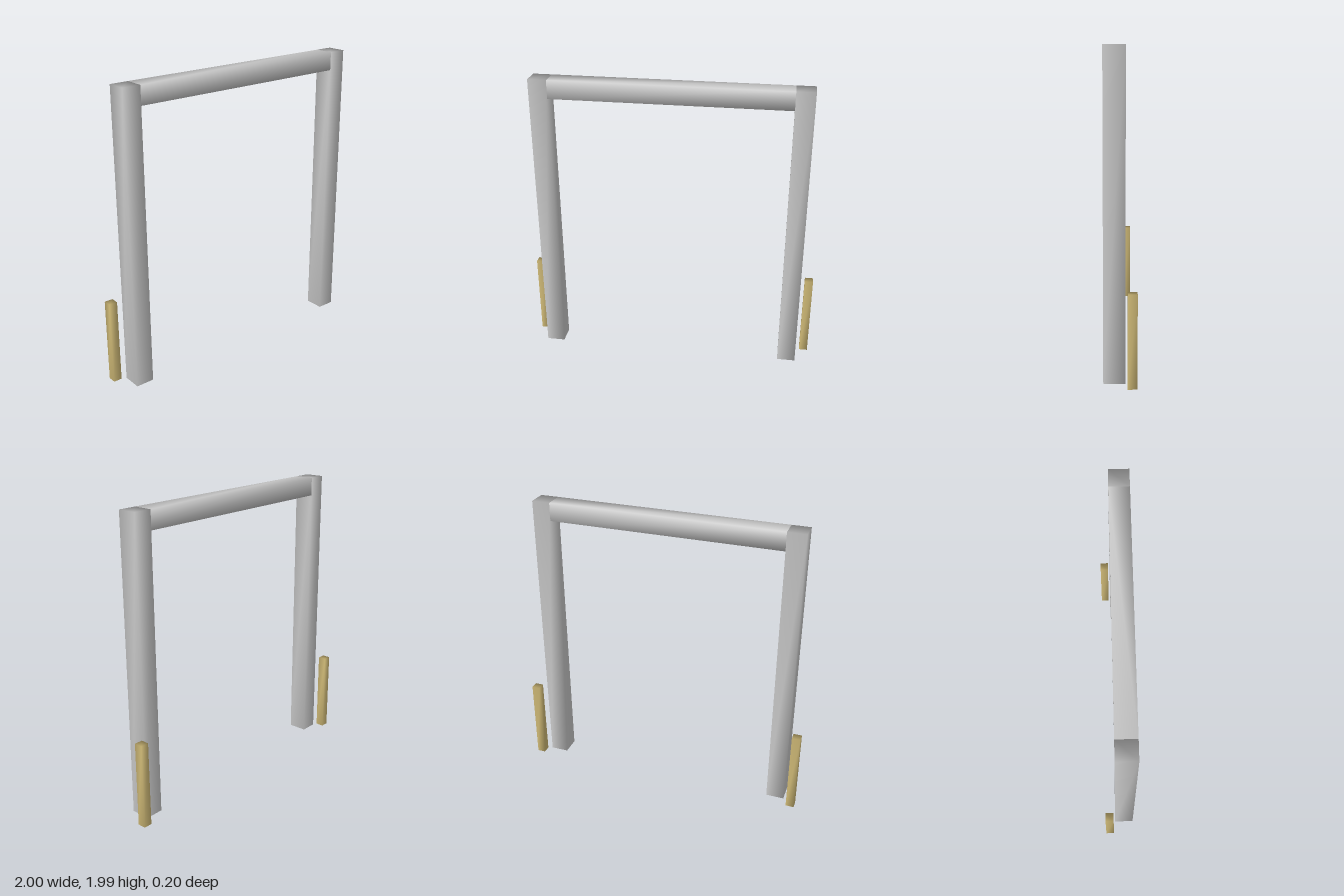
import * as THREE from 'three';
import { mergeVertices } from 'three/addons/utils/BufferGeometryUtils.js';

const grey = new THREE.MeshStandardMaterial({ color: 0xcccccc });
const tan = new THREE.MeshStandardMaterial({ color: 0xd2bc78 });

// Box given by its min and max corners, with normals shared across the edges
function softBar(name, min, max, material) {
  const size = max.map((v, i) => v - min[i]);
  let geometry = new THREE.BoxGeometry(...size);
  geometry.deleteAttribute('normal');
  geometry.deleteAttribute('uv');
  geometry = mergeVertices(geometry);
  geometry.computeVertexNormals();
  const mesh = new THREE.Mesh(geometry, material);
  mesh.name = name;
  mesh.position.set(...max.map((v, i) => (v + min[i]) / 2));
  return mesh;
}

export function createModel() {
  const model = new THREE.Group();
  model.name = 'goalFrame';

  const top = 1.99, inner = 0.788, outer = 0.912, back = -0.033, front = 0.099;

  // Crossbar fitted between the posts
  model.add(softBar('crossbar', [-inner, 1.866, back], [inner, top, front], grey));

  for (const [side, s] of [['left', 1], ['right', -1]]) {
    // Tall upright
    const post = softBar(side + 'Post', [inner, 0, back], [outer, top, front], grey);
    // Short stake standing behind and outside the post
    const stake = softBar(side + 'Stake', [0.943, 0, -0.102], [1, 0.574, -0.045], tan);
    for (const part of [post, stake]) {
      part.position.x *= s;
      model.add(part);
    }
  }
  return model;
}
